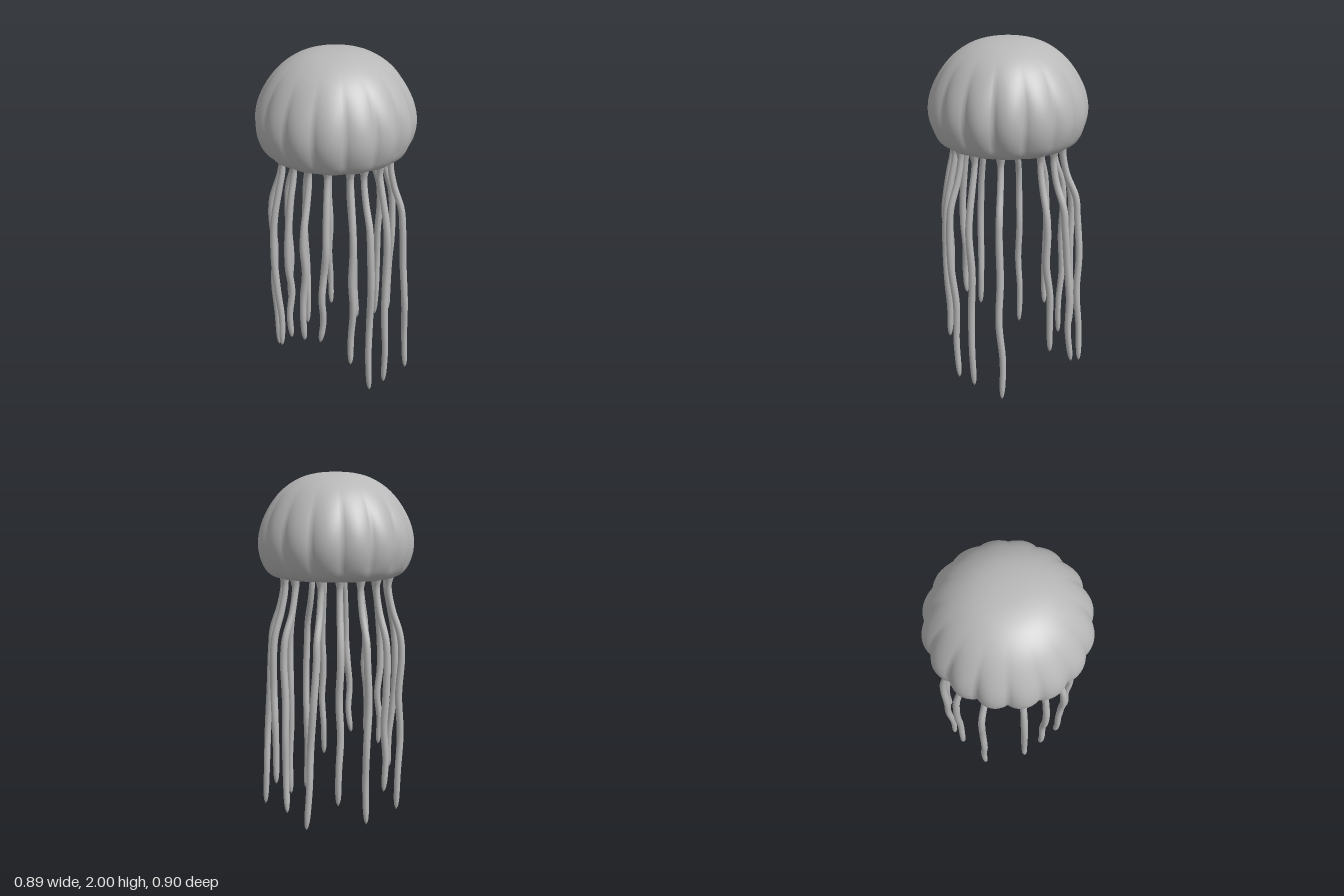
import * as THREE from 'three';
import { mergeVertices } from 'three/addons/utils/BufferGeometryUtils.js';

const grey = new THREE.MeshStandardMaterial({ color: 0xb8b8b8 });
grey.name = 'soft grey';

// Drop seams so normals run smoothly all the way round
function smooth(geometry) {
  geometry.deleteAttribute('uv');
  geometry.deleteAttribute('normal');
  const merged = mergeVertices(geometry, 1e-5);
  merged.computeVertexNormals();
  return merged;
}

// Smoothed profile from [radius, height] pairs
function profile(pairs, count) {
  const pts = pairs.map(([r, y]) => new THREE.Vector3(r, y, 0));
  return new THREE.CatmullRomCurve3(pts).getPoints(count)
    .map((p) => new THREE.Vector2(Math.max(0, p.x), p.y));
}

// Thick dome with sixteen scalloped lobes that fade towards the crown
function makeBell() {
  const inner = [[0, 1.91], [0.14, 1.89], [0.26, 1.82], [0.34, 1.71], [0.37, 1.6], [0.34, 1.5], [0.285, 1.45]];
  const outer = [[0.29, 1.425], [0.33, 1.418], [0.385, 1.445], [0.425, 1.51], [0.443, 1.6], [0.428, 1.7],
    [0.375, 1.81], [0.3, 1.9], [0.2, 1.965], [0.1, 1.993], [0, 2]];
  const geometry = new THREE.LatheGeometry(profile([...inner, ...outer], 72), 160);
  const pos = geometry.attributes.position;
  for (let i = 0; i < pos.count; i++) {
    const x = pos.getX(i), y = pos.getY(i), z = pos.getZ(i);
    const angle = Math.atan2(z, x);
    const fade = 1 - THREE.MathUtils.smoothstep(y, 1.62, 1.97);
    const low = 0.4 + 0.6 * THREE.MathUtils.smoothstep(y, 1.41, 1.52);
    const depth = 0.05 + 0.025 * Math.cos(angle) ** 4;
    const groove = 1 - Math.abs(Math.cos(angle * 8)) ** 0.8;
    const s = 1 - depth * groove * fade * low;
    pos.setXYZ(i, x * s, y, z * s);
  }
  return new THREE.Mesh(smooth(geometry), grey);
}

// Tentacle: middle x, z, then tip x, y, z
const TENTACLES = [
  [0, 0.385, -0.01, 0.38, 0.37],
  [0.12, 0.35, 0.08, 0.38, 0.35],
  [0.25, 0.28, 0.24, 0.23, 0.28],
  [0.325, 0.22, 0.32, 0.01, 0.185],
  [0.365, 0.085, 0.36, 0.005, 0.07],
  [0.38, -0.1, 0.42, 0, -0.13],
  [0.22, -0.32, 0.2, 0.24, -0.34],
  [0.11, -0.385, 0.07, 0.12, -0.43],
  [-0.1, -0.39, -0.06, 0.05, -0.44],
  [-0.21, -0.32, -0.2, 0.18, -0.33],
  [-0.325, -0.23, -0.32, 0.055, -0.22],
  [-0.38, -0.1, -0.37, 0.22, -0.105],
  [-0.385, 0.08, -0.37, 0.05, 0.07],
  [-0.25, 0.28, -0.22, 0.22, 0.28],
  [-0.12, 0.345, -0.12, 0.34, 0.33],
];

function makeTentacle([mx, mz, ex, ey, ez], index) {
  const r = Math.hypot(mx, mz);
  const at = (radius, y) => new THREE.Vector3(mx * radius / r, y, mz * radius / r);
  const path = [at(0.315, 1.45), at(0.312, 1.36), at(0.335, 1.24), at(r - 0.012, 1.1), at(r, 0.98)];
  const tip = new THREE.Vector3(ex, ey, ez);
  // Gentle sway below the bend
  for (let k = 1; k <= 3; k++) {
    const p = at(r, 0.98).lerp(tip, k / 4);
    p.x += 0.008 * Math.sin(index * 2.1 + k * 1.9);
    p.z += 0.008 * Math.cos(index * 1.7 + k * 2.3);
    path.push(p);
  }
  path.push(tip);
  const curve = new THREE.CatmullRomCurve3(path);
  const rings = 64, sides = 12;
  const geometry = new THREE.TubeGeometry(curve, rings, 1, sides);
  const pos = geometry.attributes.position;
  const v = new THREE.Vector3();
  for (let i = 0; i < pos.count; i++) {
    const t = Math.floor(i / (sides + 1)) / rings;
    const c = curve.getPointAt(t);
    // Flared root, even stalk, slightly swollen and rounded tip
    const flare = 0.016 * Math.max(0, 1 - t / 0.05);
    const end = Math.sqrt(Math.max(0, 1 - Math.max(0, (t - 0.93) / 0.07) ** 2));
    const radius = (0.0165 + 0.004 * Math.sin(Math.PI * t) + flare) * end;
    v.fromBufferAttribute(pos, i).sub(c).multiplyScalar(radius).add(c);
    pos.setXYZ(i, v.x, v.y, v.z);
  }
  return new THREE.Mesh(smooth(geometry), grey);
}

export function createModel() {
  const model = new THREE.Group();
  model.name = 'jellyfish';

  const bell = makeBell();
  bell.name = 'bell';
  model.add(bell);

  const tentacles = new THREE.Group();
  tentacles.name = 'tentacles';
  TENTACLES.forEach((spec, i) => {
    const tentacle = makeTentacle(spec, i);
    tentacle.name = 'tentacle' + (i + 1);
    tentacles.add(tentacle);
  });
  model.add(tentacles);
  return model;
}
